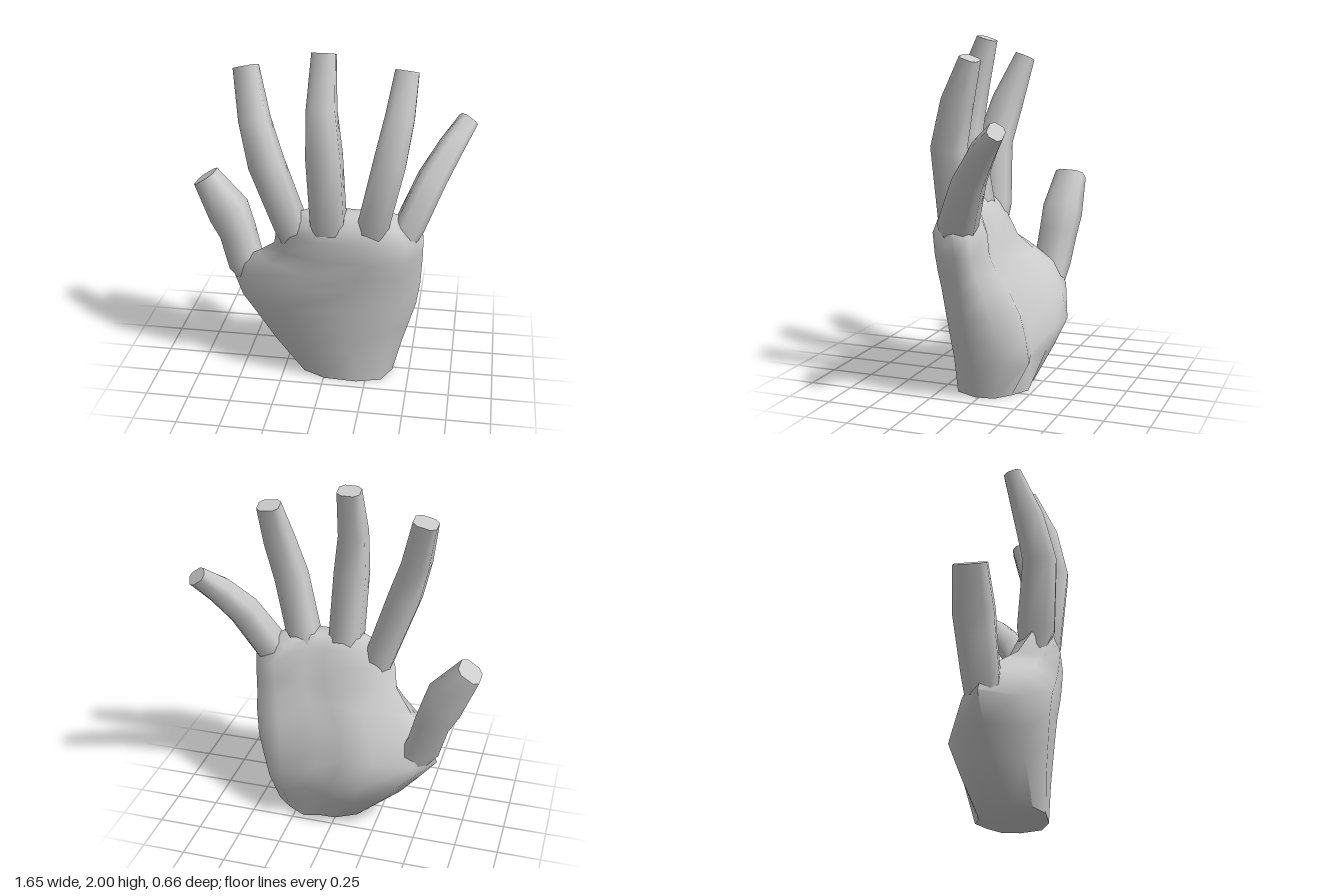
import * as THREE from 'three';
import { toCreasedNormals } from 'three/addons/utils/BufferGeometryUtils.js';

const mix = THREE.MathUtils.lerp;
const material = new THREE.MeshStandardMaterial({ color: 0xcccccc });

// Skin a stack of equal-length rings (counter-clockwise seen from the end) and cap both ends.
function loft(name, rings) {
  const n = rings[0].length;
  const pos = [];
  const index = [];
  rings.forEach((ring) => ring.forEach((p) => pos.push(p.x, p.y, p.z)));
  for (let i = 0; i < rings.length - 1; i++) {
    for (let j = 0; j < n; j++) {
      const a = i * n + j, b = i * n + (j + 1) % n;
      index.push(a, b, b + n, a, b + n, a + n);
    }
  }
  [0, rings.length - 1].forEach((r) => {
    const c = new THREE.Vector3();
    rings[r].forEach((p) => c.addScaledVector(p, 1 / n));
    const centre = pos.length / 3;
    pos.push(c.x, c.y, c.z);
    for (let j = 0; j < n; j++) {
      const a = r * n + j, b = r * n + (j + 1) % n;
      index.push(centre, ...(r === 0 ? [b, a] : [a, b]));
    }
  });
  const geometry = new THREE.BufferGeometry();
  geometry.setAttribute('position', new THREE.Float32BufferAttribute(pos, 3));
  geometry.setIndex(index);
  const mesh = new THREE.Mesh(toCreasedNormals(geometry, 1.1), material);
  mesh.name = name;
  return mesh;
}

// Palm section: knuckle side left to right, then back across both pads of the palm.
function palmRing([y, xl, xr, front, zl, zr, thumbPad, hollow, heelPad]) {
  return [
    [0, zl], [0.09, mix(zl, front, 0.6)], [0.32, mix(zl, front, 0.95)], [0.65, front],
    [0.9, mix(zr, front, 0.75)], [1, zr],
    [0.97, mix(zr, heelPad, 0.6)], [0.82, heelPad], [0.63, hollow],
    [0.48, mix(hollow, thumbPad, 0.9)], [0.31, thumbPad], [0.1, mix(zl, thumbPad, 0.65)],
  ].map(([u, z]) => new THREE.Vector3(mix(xl, xr, u), y, z));
}

// Finger from joints [x, y, z, halfWidth, halfDepth], with squarish eight-sided sections.
function finger(name, joints) {
  const centres = joints.map(([x, y, z]) => new THREE.Vector3(x, y, z));
  const zAxis = new THREE.Vector3(0, 0, 1);
  const square = (v) => Math.sign(v) * Math.abs(v) ** 0.65 * 1.05;
  const rings = joints.map(([, , , w, d], i) => {
    const before = centres[Math.max(i - 1, 0)];
    const after = centres[Math.min(i + 1, centres.length - 1)];
    const along = after.clone().sub(before).normalize();
    const side = along.clone().cross(zAxis).normalize();
    const depth = side.clone().cross(along);
    return Array.from({ length: 8 }, (_, k) => {
      const t = (k + 0.5) * Math.PI / 4;
      return centres[i].clone()
        .addScaledVector(side, square(Math.cos(t)) * w)
        .addScaledVector(depth, -square(Math.sin(t)) * d);
    });
  });
  return loft(name, rings);
}

export function createModel() {
  const hand = new THREE.Group();
  hand.name = 'hand';

  // Palm: y, left x, right x, front z, edge z's, thumb pad, hollow, heel pad
  hand.add(loft('palm', [
    [0, -0.18, 0.4, 0.19, 0, 0.02, -0.19, -0.22, -0.16],
    [0.2, -0.38, 0.45, 0.205, -0.09, 0.02, -0.28, -0.22, -0.265],
    [0.34, -0.49, 0.49, 0.22, -0.12, 0.03, -0.335, -0.2, -0.25],
    [0.48, -0.6, 0.53, 0.235, -0.14, 0.04, -0.28, -0.16, -0.22],
    [0.62, -0.55, 0.55, 0.25, -0.11, 0.05, -0.2, -0.1, -0.16],
    [0.72, -0.42, 0.555, 0.265, -0.04, 0.06, -0.09, -0.06, -0.1],
    [0.82, -0.31, 0.56, 0.275, 0.05, 0.07, -0.04, -0.03, -0.07],
    [0.94, -0.28, 0.56, 0.285, 0.12, 0.08, 0, 0.02, -0.06],
    [1.02, -0.22, 0.49, 0.265, 0.14, 0.09, 0.04, 0.05, 0],
    [1.08, -0.13, 0.38, 0.21, 0.15, 0.13, 0.08, 0.09, 0.07],
  ].map(palmRing)));

  // Fingers and thumb, from inside the palm to the cut-off tip
  hand.add(
    finger('indexFinger', [
      [-0.16, 0.82, 0.11, 0.06, 0.05], [-0.195, 1, 0.145, 0.085, 0.105],
      [-0.32, 1.37, 0.175, 0.092, 0.095], [-0.39, 1.6, 0.12, 0.08, 0.085],
      [-0.45, 1.87, 0.03, 0.068, 0.05],
    ]),
    finger('middleFinger', [
      [0.03, 0.84, 0.13, 0.07, 0.07], [0.03, 1.02, 0.17, 0.095, 0.11],
      [0.015, 1.45, 0.235, 0.095, 0.095], [-0.005, 1.7, 0.19, 0.078, 0.085],
      [-0.005, 1.98, 0.1, 0.065, 0.05],
    ]),
    finger('ringFinger', [
      [0.25, 0.84, 0.12, 0.07, 0.07], [0.28, 1.01, 0.16, 0.088, 0.11],
      [0.365, 1.4, 0.18, 0.09, 0.09], [0.41, 1.65, 0.11, 0.08, 0.08],
      [0.435, 1.88, 0.025, 0.065, 0.05],
    ]),
    finger('littleFinger', [
      [0.38, 0.8, 0.13, 0.05, 0.05], [0.475, 0.99, 0.085, 0.082, 0.105],
      [0.59, 1.25, -0.03, 0.08, 0.085], [0.685, 1.41, -0.14, 0.068, 0.07],
      [0.77, 1.53, -0.25, 0.055, 0.045],
    ]),
    finger('thumb', [
      [-0.4, 0.4, -0.13, 0.07, 0.07], [-0.525, 0.6, -0.13, 0.1, 0.1],
      [-0.575, 0.78, -0.15, 0.1, 0.105], [-0.63, 0.91, -0.16, 0.115, 0.11],
      [-0.765, 1.12, -0.17, 0.07, 0.09],
    ]),
  );
  return hand;
}
